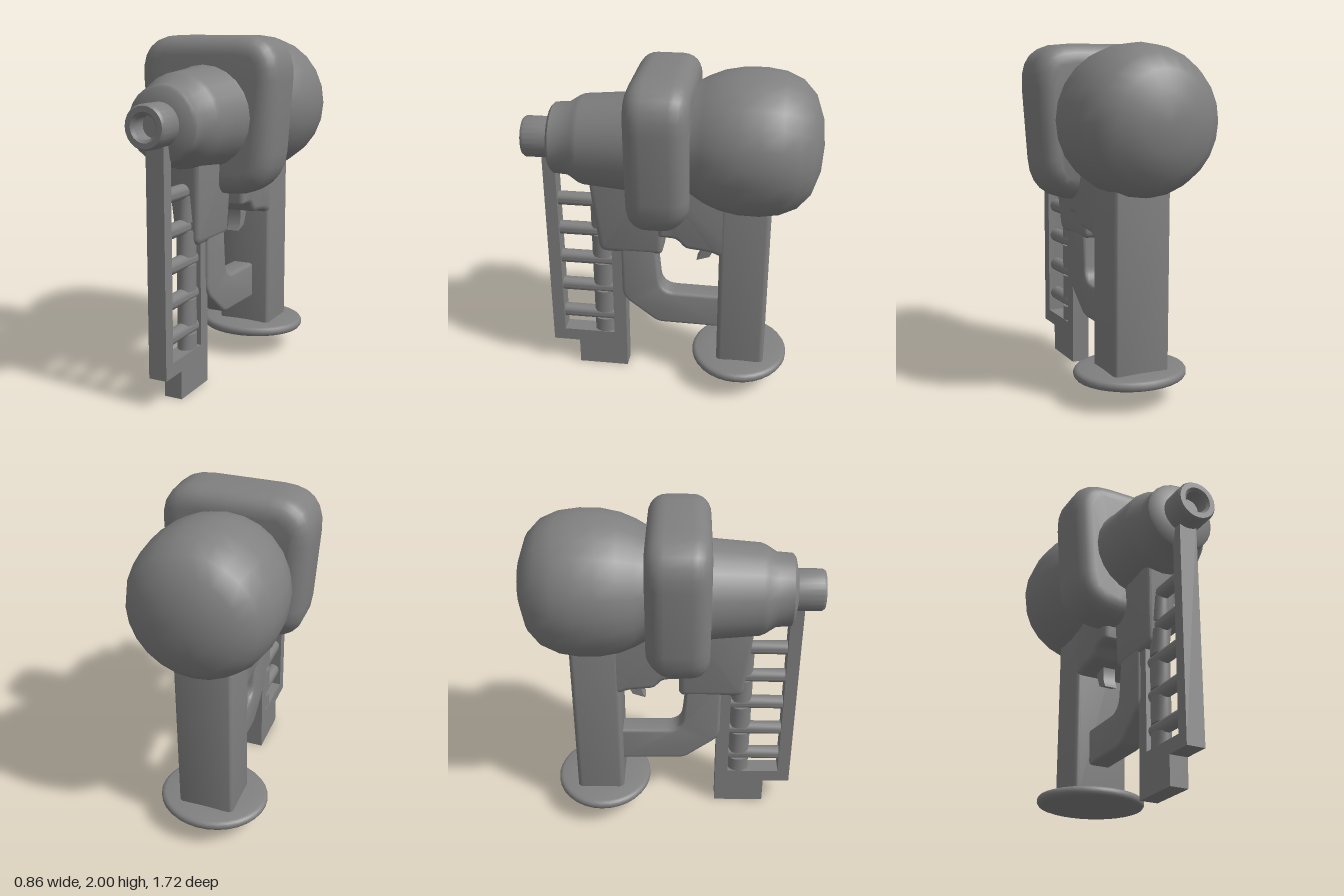
import * as THREE from 'three';
import { toCreasedNormals } from 'three/addons/utils/BufferGeometryUtils.js';
import { RoundedBoxGeometry } from 'three/addons/geometries/RoundedBoxGeometry.js';

const material = new THREE.MeshStandardMaterial({ color: 0x808080 });
const V = (p) => new THREE.Vector2(p[0], p[1]);

// Closed outline whose corners are [x, y, radius].
function roundedShape(corners) {
  const shape = new THREE.Shape();
  corners.forEach((c, i) => {
    const n = corners.length;
    const p = V(c);
    const r = c[2] || 0;
    const toward = (q) => V(q).sub(p).setLength(r).add(p);
    const a = toward(corners[(i + n - 1) % n]);
    const b = toward(corners[(i + 1) % n]);
    if (i) shape.lineTo(a.x, a.y);
    else shape.moveTo(a.x, a.y);
    if (r) shape.quadraticCurveTo(p.x, p.y, b.x, b.y);
  });
  shape.closePath();
  return shape;
}

// Extrusion centred on its depth, with the bevel kept inside the outline.
function slab(shape, depth, bevel, segments = 3) {
  const geometry = new THREE.ExtrudeGeometry(shape, {
    depth: depth - 2 * bevel, bevelEnabled: bevel > 0, bevelThickness: bevel,
    bevelSize: bevel, bevelOffset: -bevel, bevelSegments: segments, curveSegments: 6,
  });
  geometry.translate(0, 0, bevel - depth / 2);
  return geometry;
}

// Side profile given as (z, y), extruded across x.
function sideSlab(corners, width, bevel) {
  return slab(roundedShape(corners), width, bevel).rotateY(-Math.PI / 2);
}

// Profile of [radius, z], turned about the z axis.
function turned(profile, segments) {
  return new THREE.LatheGeometry(profile.map(V), segments).rotateX(Math.PI / 2);
}

export function createModel() {
  const model = new THREE.Group();
  function add(name, geometry, x = 0, y = 0, z = 0, crease = 0.6) {
    const mesh = new THREE.Mesh(toCreasedNormals(geometry, crease), material);
    mesh.name = name;
    mesh.position.set(x, y, z);
    model.add(mesh);
  }

  // Round rear housing
  add('rearHousing', turned([
    [0, -0.86], [0.15, -0.846], [0.28, -0.8], [0.36, -0.725], [0.402, -0.63], [0.418, -0.52],
    [0.416, -0.4], [0.395, -0.29], [0.358, -0.2], [0.318, -0.13], [0.3, 0],
  ], 24), 0, 1.58, 0, 0.9);

  // Soft collar, tapering downward and thinner at the lower back
  const collar = slab(roundedShape([
    [-0.385, 1.1, 0.24], [0.385, 1.1, 0.24], [0.45, 2, 0.25], [-0.45, 2, 0.25],
  ]), 0.36, 0.105, 6);
  const p = collar.attributes.position;
  for (let i = 0; i < p.count; i++) {
    const low = Math.max(0, (1.28 - p.getY(i)) / 0.18);
    if (p.getZ(i) < 0) p.setZ(i, p.getZ(i) + 0.06 * low);
  }
  add('collar', collar, 0, 0, 0.04, 0.9);

  // Stepped nose with a hollow tip
  add('nose', turned([
    [0.27, 0.1], [0.3, 0.2], [0.284, 0.235], [0.262, 0.5], [0.25, 0.53], [0.212, 0.59],
    [0.206, 0.675], [0.19, 0.69], [0.12, 0.705], [0.12, 0.845], [0.11, 0.86],
    [0.08, 0.86], [0.065, 0.845], [0.065, 0.76], [0, 0.76],
  ], 24), 0, 1.547);

  // Tapered housing under the nose
  const feed = sideSlab([
    [0.43, 0.845, 0.05], [0.485, 1.4], [0.05, 1.4], [0.045, 0.845, 0.04],
  ], 0.22, 0.035);
  const f = feed.attributes.position;
  for (let i = 0; i < f.count; i++) {
    f.setX(i, f.getX(i) * Math.min(1, 0.66 + 0.8 * (f.getY(i) - 0.85)));
  }
  add('feedHousing', feed);

  // Magazine frame: posts and stepped foot
  add('magazineFrame', sideSlab([
    [0.755, 0.165], [0.59, 0.165], [0.59, 0], [0.28, 0], [0.28, 0.95], [0.36, 0.95],
    [0.36, 0.245], [0.68, 0.245], [0.68, 1.5], [0.755, 1.5],
  ], 0.108, 0));

  // Rungs, with a segmented column behind them
  const segment = (height) => new THREE.CylinderGeometry(0.065, 0.065, height, 14).scale(0.8, 1, 1);
  for (let i = 0; i < 5; i++) {
    const y = 0.363 + i * 0.199;
    add('magazineRung', new THREE.CylinderGeometry(0.042, 0.042, 0.36, 14).rotateX(Math.PI / 2), 0, y, 0.52);
    if (i < 4) add('magazineColumn', segment(0.15), 0, y + 0.1, 0.425);
  }
  add('magazineColumn', segment(0.1), 0, 0.285, 0.425);

  // Bent brace joining the magazine to the grip
  add('brace', sideSlab([
    [0.3, 0.9], [0.3, 0.53, 0.06], [0.08, 0.36, 0.04], [-0.34, 0.355], [-0.34, 0.575],
    [0.06, 0.58, 0.09], [0.09, 0.9],
  ], 0.14, 0.02));

  // Body above the trigger
  add('body', sideSlab([
    [0.06, 1.02, 0.02], [-0.05, 1.015, 0.03], [-0.1, 0.955, 0.03], [-0.25, 0.94, 0.03],
    [-0.32, 0.91], [-0.45, 0.91], [-0.45, 1.4], [0.06, 1.4],
  ], 0.335, 0.03), 0.01);

  // Curved trigger
  const trigger = new THREE.Shape();
  trigger.moveTo(-0.18, 0.97);
  trigger.quadraticCurveTo(-0.2, 0.87, -0.157, 0.812);
  trigger.lineTo(-0.235, 0.838);
  trigger.quadraticCurveTo(-0.255, 0.88, -0.29, 0.97);
  add('trigger', slab(trigger, 0.08, 0).rotateY(-Math.PI / 2));

  // Grip and oval foot with a rounded rim
  add('grip', new RoundedBoxGeometry(0.34, 1.2, 0.29, 3, 0.03), 0.01, 0.76, -0.445);
  add('gripFoot', new THREE.LatheGeometry([
    [0, 0.135], [0.3, 0.135], [0.318, 0.141], [0.327, 0.154], [0.327, 0.172],
    [0.318, 0.185], [0.3, 0.191], [0.2, 0.194], [0, 0.21],
  ].map(V), 32).scale(1, 1, 0.9), 0.01, 0, -0.433, 0.9);

  return model;
}
